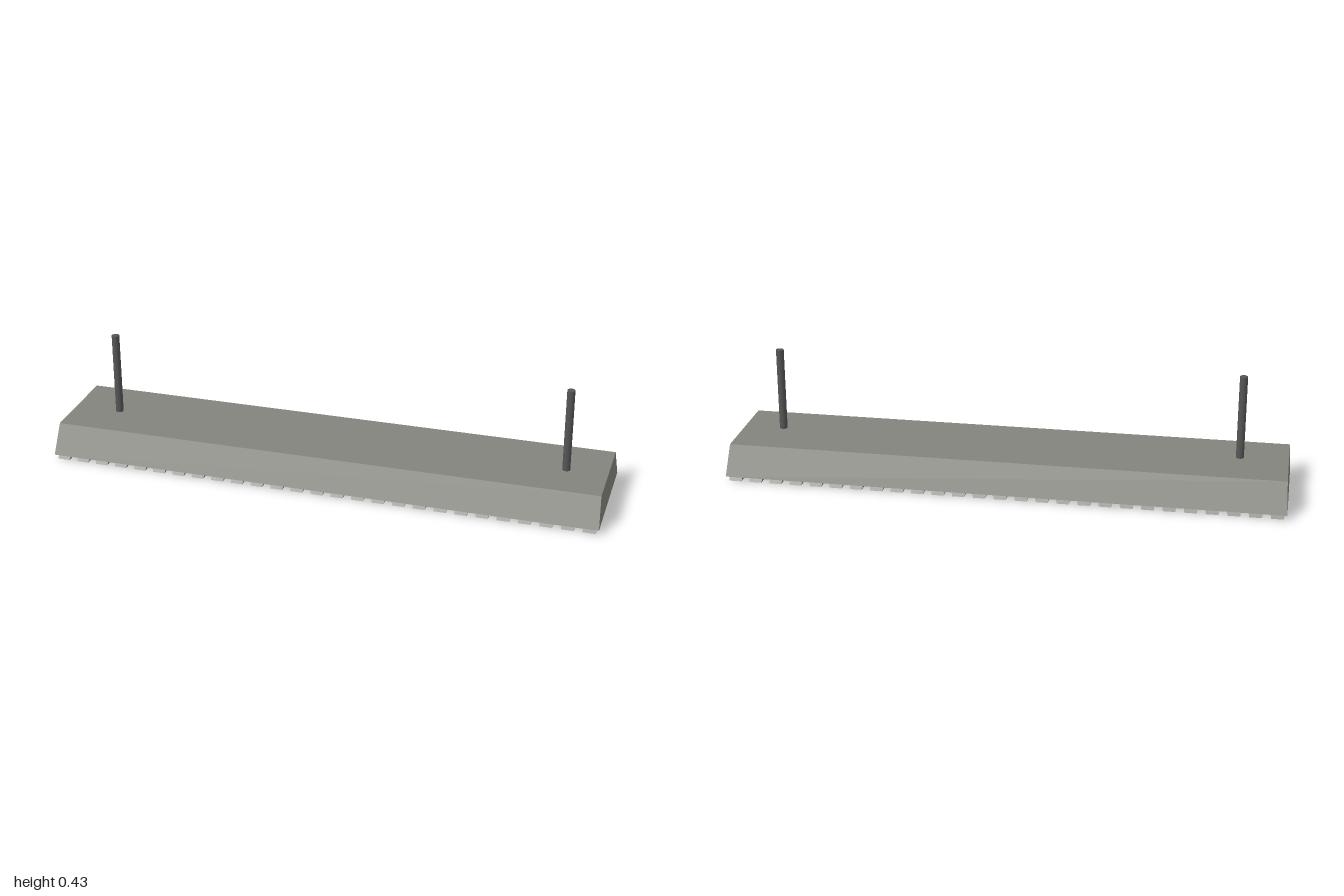
import * as THREE from 'three';

// Box whose bottom and top rectangles differ in half-size
function taperedBox(bottomX, bottomZ, topX, topZ, y0, y1) {
  const geo = new THREE.BoxGeometry(2, 2, 2);
  const p = geo.attributes.position;
  for (let i = 0; i < p.count; i++) {
    const top = p.getY(i) > 0;
    p.setXYZ(i, p.getX(i) * (top ? topX : bottomX), top ? y1 : y0, p.getZ(i) * (top ? topZ : bottomZ));
  }
  geo.computeVertexNormals();
  return geo;
}

export function createModel() {
  const group = new THREE.Group();
  const housingGrey = new THREE.MeshStandardMaterial({ color: 0x83847c });
  housingGrey.name = 'housing grey';
  const rodGrey = new THREE.MeshStandardMaterial({ color: 0x565656 });
  rodGrey.name = 'rod grey';

  const add = (name, geo, mat, x = 0, y = 0, z = 0) => {
    const mesh = new THREE.Mesh(geo, mat);
    mesh.name = name;
    mesh.position.set(x, y, z);
    group.add(mesh);
  };

  // Sloped lamp housing
  add('housing', taperedBox(1, 0.22, 0.994, 0.17, 0.018, 0.124), housingGrey);

  // Row of louvre slats under the housing
  const slat = taperedBox(0.022, 0.213, 0.025, 0.2, 0, 0.018);
  const count = 27;
  for (let i = 0; i < count; i++) {
    add('louvreSlat', slat, housingGrey, -0.967 + (i * 1.934) / (count - 1));
  }

  // Two hanging rods
  const rod = new THREE.CylinderGeometry(0.014, 0.014, 0.304, 20);
  for (const x of [-0.822, 0.848]) add('hangingRod', rod, rodGrey, x, 0.278, 0.014);

  return group;
}
